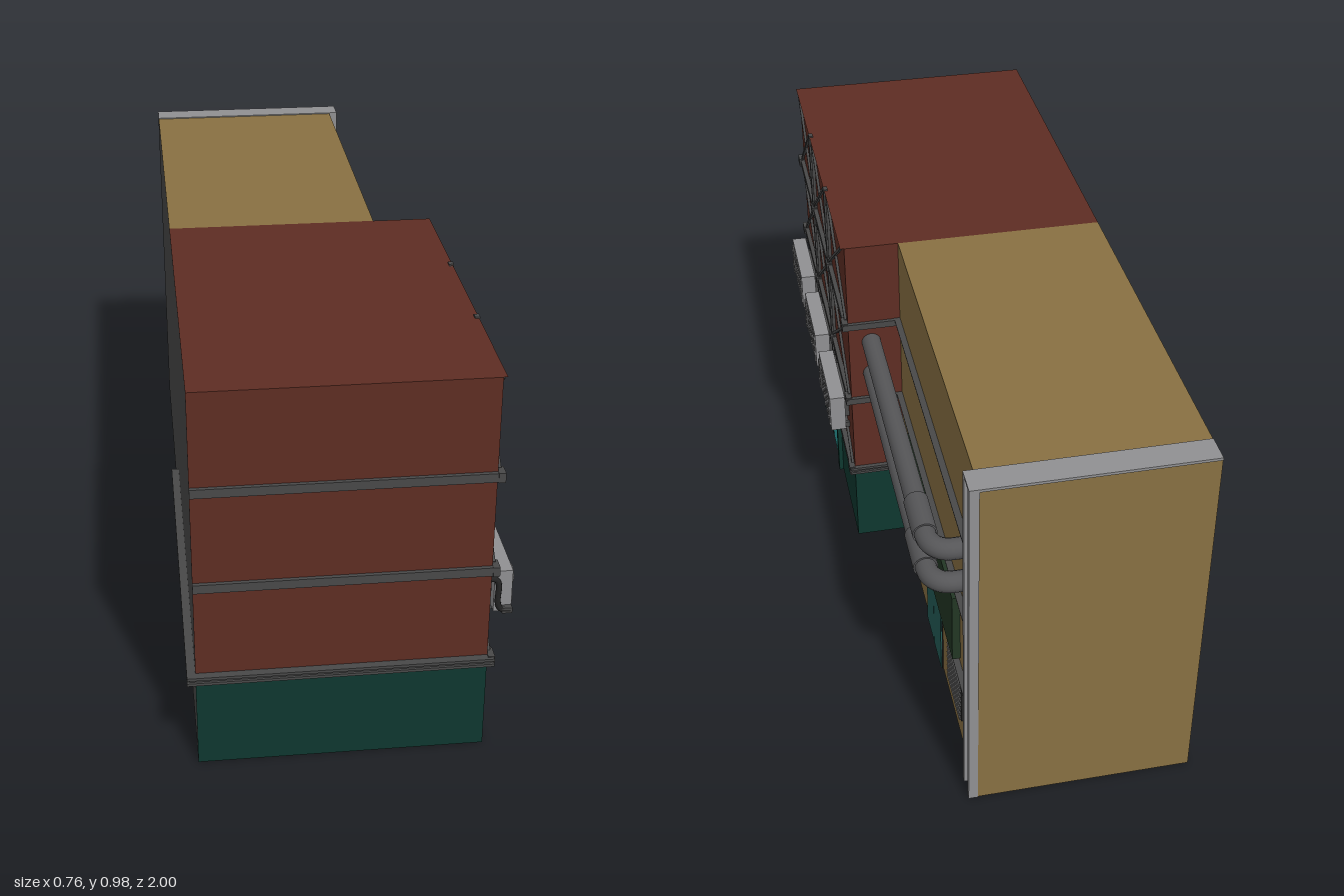
import * as THREE from 'three';

const mat = (name, color, side = THREE.FrontSide) => {
  const m = new THREE.MeshStandardMaterial({ color, side });
  m.name = name;
  return m;
};

export function createModel() {
  const root = new THREE.Group();
  root.name = 'building';
  const D = THREE.DoubleSide;
  const brick = mat('brick red', 0x5e2d23, D);
  const tan = mat('tan render', 0x887042, D);
  const teal = mat('dark teal', 0x0e372f, D);
  const steel = mat('steel grey', 0x484848, D);
  const light = mat('light grey', 0x909092);
  const cyan = mat('cyan door', 0x2d9e9d);
  const doorTeal = mat('teal door', 0x245c57);
  const green = mat('green glass', 0x223624);
  const black = mat('near black', 0x232323);
  const pipeGrey = mat('pipe grey', 0x565658);

  const add = (parent, name, geo, m) => {
    const mesh = new THREE.Mesh(geo, m);
    mesh.name = name;
    parent.add(mesh);
    return mesh;
  };
  // Box given by its lower and upper corner
  const box = (name, m, x0, x1, y0, y1, z0, z1, parent = root) => {
    const b = add(parent, name, new THREE.BoxGeometry(x1 - x0, y1 - y0, z1 - z0), m);
    b.position.set((x0 + x1) / 2, (y0 + y1) / 2, (z0 + z1) / 2);
    return b;
  };
  // Upright wall sheet between two footprint points, facing outward
  const wall = (name, m, [x0, z0], [x1, z1], y0, y1) => {
    const w = add(root, name, new THREE.PlaneGeometry(Math.hypot(x1 - x0, z1 - z0), y1 - y0), m);
    w.position.set((x0 + x1) / 2, (y0 + y1) / 2, (z0 + z1) / 2);
    w.rotation.y = Math.atan2(z0 - z1, x1 - x0);
  };
  const roof = (name, m, x0, x1, z0, z1) => {
    const r = add(root, name, new THREE.PlaneGeometry(x1 - x0, z1 - z0), m);
    r.position.set((x0 + x1) / 2, H, (z0 + z1) / 2);
    r.rotation.x = -Math.PI / 2;
  };

  const H = 0.973, base = 0.235;
  const L = -0.36, FR = 0.318, BR = 0.177;      // left wall, front and back block right walls
  const F = 0.98, M = 0.025, B = -0.998;        // front, step and back

  // Shell, open underneath
  const steps = [[L, F], [FR, F], [FR, M], [BR, M]];
  for (let i = 0; i < 3; i++) {
    wall('groundWall', teal, steps[i], steps[i + 1], 0, base);
    wall('upperWall', brick, steps[i], steps[i + 1], base, H);
  }
  wall('backBlockWall', tan, [BR, M], [BR, B], 0, H);
  wall('backWall', tan, [BR, B], [L, B], 0, H);
  wall('leftWall', steel, [L, B], [L, F], 0, H);
  roof('frontRoof', brick, L, FR + 0.01, M, F);
  roof('backRoof', tan, L, BR, B, M);

  // Layered ledge above the ground floor
  [[0.234, 0.241, 0], [0.241, 0.248, 0.006], [0.248, 0.255, 0]].forEach(([y0, y1, inset]) => {
    box('frontLedge', steel, -0.38 + inset, 0.332 - inset, y0, y1, F - 0.01, 1 - inset);
    box('leftLedge', steel, -0.38 + inset, L + 0.005, y0, y1, M, F);
    box('rightLedge', steel, FR - 0.005, 0.332 - inset, y0, y1, M - 0.008, F);
    box('stepLedge', steel, BR, 0.332 - inset, y0, y1, M - 0.012 + inset, M);
  });

  // Steel frame: beams, columns, joints
  const beams = [0.488, 0.732], columns = [0.665, 0.345];
  for (const y of beams) {
    box('frontBeam', steel, L, 0.33, y - 0.011, y + 0.011, F - 0.005, 0.99);
    box('sideBeam', steel, FR, 0.33, y - 0.009, y + 0.009, M - 0.008, F);
    box('stepBeam', steel, BR, 0.33, y - 0.009, y + 0.009, M - 0.01, M);
  }
  for (const z of columns) {
    box('groundColumn', teal, FR, 0.33, 0, base, z - 0.012, z + 0.012);
    box('column', steel, FR, 0.33, base, H + 0.004, z - 0.009, z + 0.009);
    for (const dz of [-0.012, 0.012])
      box('columnFlange', steel, FR, 0.326, base, H, z + dz - 0.002, z + dz + 0.002);
  }
  for (const y of [0.245, ...beams])
    for (const z of [F - 0.005, ...columns, M + 0.01])
      box('jointPlate', steel, FR, 0.334, y - 0.012, y + 0.012, z - 0.017, z + 0.017);

  // Crossed braces in each bay
  const bays = [[0.356, 0.03], [0.676, 0.356], [0.975, 0.676]];
  const floors = [[0.255, 0.478], [0.498, 0.722], [0.743, 0.968]];
  for (const [z1, z0] of bays)
    for (const [y0, y1] of floors)
      for (const s of [-1, 1]) {
        const dz = z1 - z0 - 0.02, dy = y1 - y0;
        const b = add(root, 'brace', new THREE.BoxGeometry(0.007, 0.008, Math.hypot(dz, dy)), steel);
        b.position.set(FR + 0.004 + (s > 0 ? 0.002 : 0), (y0 + y1) / 2, (z0 + z1) / 2);
        b.rotation.x = s * Math.atan2(dy, dz);
      }

  // Air conditioners
  for (const z of [0.835, 0.51, 0.19]) {
    const ac = new THREE.Group();
    ac.name = 'airConditioner';
    ac.position.z = z;
    root.add(ac);
    box('acCasing', light, 0.332, 0.374, 0.356, 0.465, -0.118, 0.118, ac);
    for (const y of [0.436, 0.385]) {
      const fan = add(ac, 'acFan', new THREE.CylinderGeometry(0.021, 0.021, 0.004, 20), black);
      fan.rotation.z = Math.PI / 2;
      fan.position.set(0.375, y, 0.085);
      const ring = add(ac, 'acFanRing', new THREE.TorusGeometry(0.022, 0.002, 6, 20), light);
      ring.rotation.y = Math.PI / 2;
      ring.position.set(0.377, y, 0.085);
      for (let i = 0; i < 2; i++) {
        const blade = box('acFanBlade', steel, 0.376, 0.378, y - 0.002, y + 0.002, 0.066, 0.104, ac);
        blade.rotation.x = Math.PI / 4 + i * Math.PI / 2;
      }
    }
    for (let i = 0; i < 7; i++)
      box('acGrille', steel, 0.373, 0.3755, 0.372 + i * 0.0125, 0.376 + i * 0.0125, -0.105, 0.05, ac);
    for (let i = 0; i < 6; i++)
      box('acGrilleRib', light, 0.373, 0.377, 0.367, 0.455, -0.107 + i * 0.0315, -0.104 + i * 0.0315, ac);
    for (const bz of [-0.085, 0.085]) {
      const s = new THREE.Shape([[FR, 0.34], [0.34, 0.345], [0.374, 0.356], [FR, 0.356]]
        .map(([x, y]) => new THREE.Vector2(x, y)));
      const br = add(ac, 'acBracket',
        new THREE.ExtrudeGeometry(s, { depth: 0.01, bevelEnabled: false }), steel);
      br.position.z = bz - 0.005;
    }
    box('acMount', steel, FR, 0.333, 0.38, 0.44, -0.09, 0.09, ac);
    const path = new THREE.CatmullRomCurve3([[FR, 0.45, 0.126], [0.333, 0.448, 0.126],
      [0.34, 0.435, 0.126], [0.34, 0.385, 0.126], [0.347, 0.368, 0.126], [0.37, 0.364, 0.126]]
      .map(p => new THREE.Vector3(...p)));
    add(ac, 'acHose', new THREE.TubeGeometry(path, 24, 0.007, 8), black);
    box('acValve', steel, 0.35, 0.374, 0.358, 0.372, 0.117, 0.132, ac);
  }

  // Front block door
  box('frontDoor', cyan, FR, FR + 0.005, 0, 0.18, 0.408, 0.602);
  box('frontDoorHandle', black, FR, FR + 0.008, 0.012, 0.018, 0.5, 0.508);

  // Back block: string courses, window, double door
  for (const y of [0.245, 0.49, 0.735]) {
    box('backBeam', steel, BR, BR + 0.01, y - 0.007, y + 0.007, -0.93, M);
    box('backBeamLip', steel, BR, BR + 0.016, y + 0.004, y + 0.007, -0.93, M);
  }
  box('window', green, BR, 0.197, 0.265, 0.468, -0.785, -0.13);
  for (const z of [-0.553, -0.454]) {
    box('backDoorLeaf', doorTeal, BR, BR + 0.006, 0, 0.195, z, z + 0.097);
  }
  box('backDoorGap', black, BR, BR + 0.003, 0, 0.197, -0.557, -0.355);

  // Louvre vent and meter box
  box('ventPanel', black, BR, BR + 0.004, 0.072, 0.2, -0.815, -0.652);
  for (let i = 0; i < 8; i++) {
    const y = 0.079 + i * 0.0163;
    box('ventSlat', steel, BR, BR + 0.009, y - 0.004, y + 0.004, -0.812, -0.655).rotation.z = -0.3;
  }
  box('meterBox', steel, BR, 0.197, 0.096, 0.155, -0.055, -0.003);

  // Twin pipes with an elbow into the wall
  for (const y of [0.675, 0.573]) {
    const path = new THREE.CurvePath();
    const v = (x, z) => new THREE.Vector3(x, y, z);
    path.add(new THREE.LineCurve3(v(0.257, M), v(0.257, -0.775)));
    path.add(new THREE.CubicBezierCurve3(v(0.257, -0.775), v(0.257, -0.815), v(0.237, -0.838), v(0.2, -0.838)));
    path.add(new THREE.LineCurve3(v(0.2, -0.838), v(BR, -0.838)));
    add(root, 'pipe', new THREE.TubeGeometry(path, 100, 0.026, 16), pipeGrey);
    const collar = add(root, 'pipeCollar', new THREE.CylinderGeometry(0.03, 0.03, 0.12, 16), pipeGrey);
    collar.rotation.x = Math.PI / 2;
    collar.position.set(0.257, y, -0.715);
  }

  // End pillar: two light flanges around a dark web, and a cap across the roof
  box('pillarWeb', steel, BR - 0.01, 0.187, 0, H, -0.99, -0.935);
  for (const z of [-0.945, -1])
    box('pillarFlange', light, BR, 0.2, 0, H, z, z + 0.015);
  box('roofCap', light, L, 0.2, H - 0.004, H + 0.003, -1, -0.93);

  return root;
}
